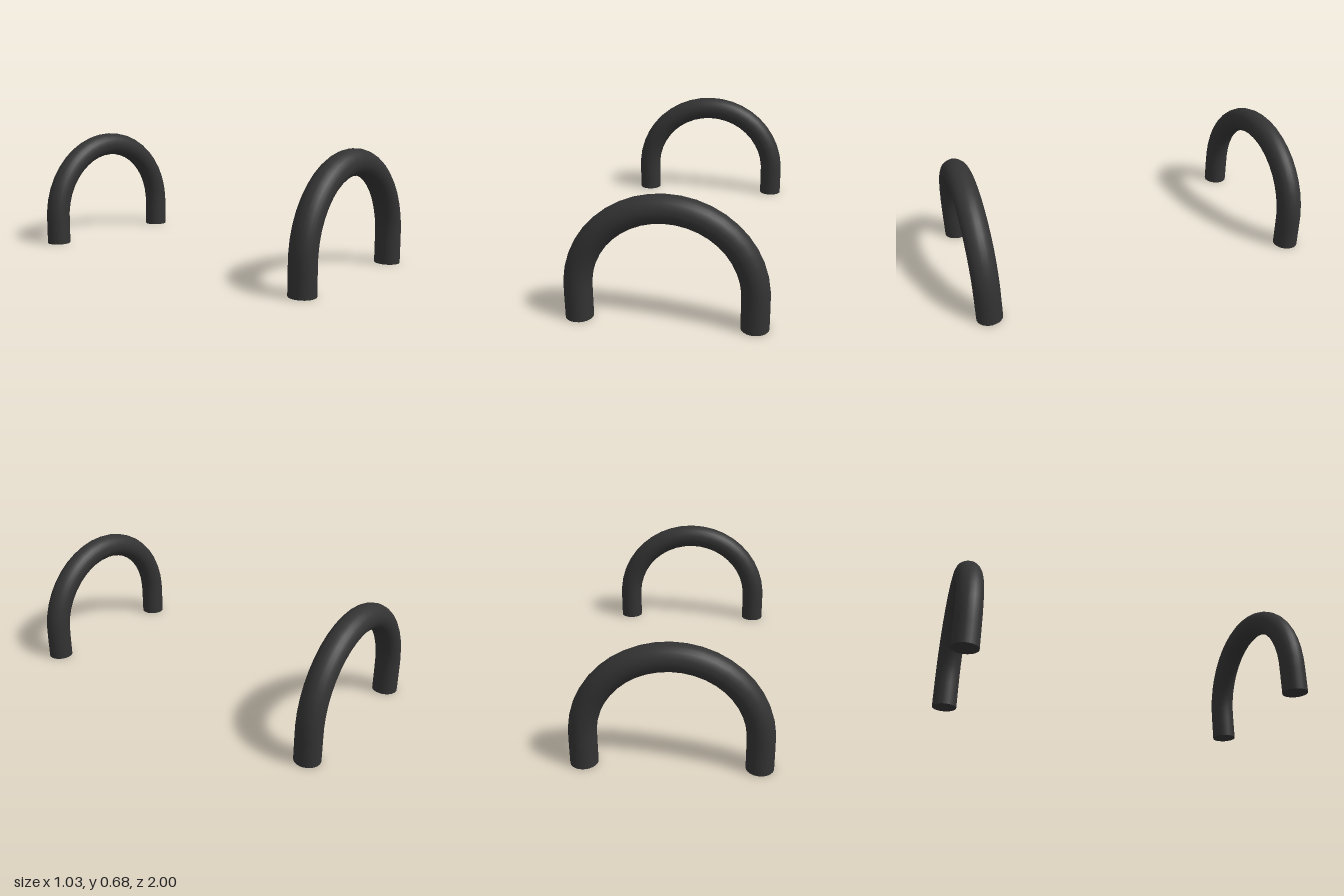
import * as THREE from 'three';

const SPAN = 0.443;   // centreline radius of the arch
const LEG = 0.167;    // straight leg height
const TUBE = 0.0715;  // tube radius
const SIDES = 24;

// Upright leg, half circle, upright leg, evenly parametrised by length
class ArchCurve extends THREE.Curve {
  getPoint(t, target = new THREE.Vector3()) {
    const arc = Math.PI * SPAN;
    const s = t * (arc + 2 * LEG);
    if (s < LEG) return target.set(-SPAN, s, 0);
    if (s > LEG + arc) return target.set(SPAN, 2 * LEG + arc - s, 0);
    const a = Math.PI - (s - LEG) / SPAN;
    return target.set(SPAN * Math.cos(a), LEG + SPAN * Math.sin(a), 0);
  }
}

export function createModel() {
  const model = new THREE.Group();
  model.name = 'archPair';
  const material = new THREE.MeshStandardMaterial({ color: 0x333333 });
  const tubeGeometry = new THREE.TubeGeometry(new ArchCurve(), 26, TUBE, SIDES, false);
  const capGeometry = new THREE.CircleGeometry(TUBE, SIDES).rotateX(Math.PI / 2);

  for (const [name, side] of [['frontArch', 1], ['backArch', -1]]) {
    const arch = new THREE.Group();
    arch.name = name;
    arch.position.z = side * (1 - TUBE);

    const tube = new THREE.Mesh(tubeGeometry, material);
    tube.name = 'archTube';
    arch.add(tube);

    // Flat discs closing the feet
    for (const x of [-SPAN, SPAN]) {
      const cap = new THREE.Mesh(capGeometry, material);
      cap.name = x > 0 ? 'leftFootCap' : 'rightFootCap';
      cap.position.x = x;
      arch.add(cap);
    }
    model.add(arch);
  }
  return model;
}
